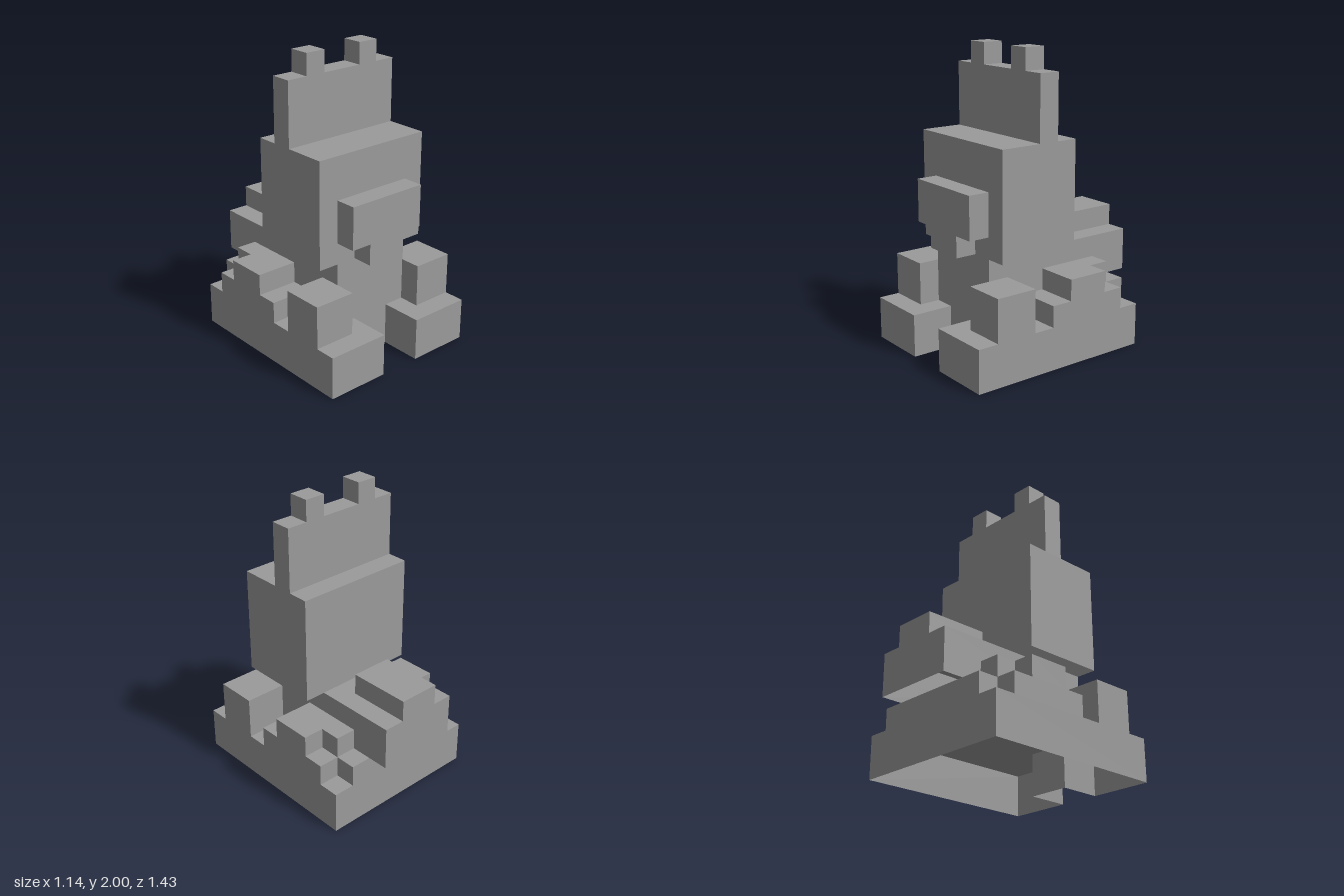
import * as THREE from 'three';

const U = 1 / 7; // block unit: the model is 14 blocks tall
const material = new THREE.MeshStandardMaterial({ color: 0x9b9b9b, flatShading: true, side: THREE.DoubleSide });

// Rectangular footprint from x0..x1, z0..z1
const rect = (x0, x1, z0, z1) => [[x0, z0], [x1, z0], [x1, z1], [x0, z1]];
const mirror = (outline) => outline.map(([x, z]) => [-x, z]);

// Hollow block: a footprint of [x, z] points raised from y0 to y1, open below
function block(name, outline, y0, y1, openTop = false) {
  const shape = new THREE.Shape(outline.map(([x, z]) => new THREE.Vector2(x * U, -z * U)));
  const full = new THREE.ExtrudeGeometry(shape, { depth: (y1 - y0) * U, bevelEnabled: false });
  full.rotateX(-Math.PI / 2).translate(0, y0 * U, 0);
  // the bottom lid comes first, then the top lid, then the walls
  const skip = (outline.length - 2) * 3 * (openTop ? 2 : 1);
  const geometry = new THREE.BufferGeometry();
  for (const key of ['position', 'normal']) {
    geometry.setAttribute(key, new THREE.BufferAttribute(full.attributes[key].array.slice(skip * 3), 3));
  }
  const mesh = new THREE.Mesh(geometry, material);
  mesh.name = name;
  return mesh;
}

export function createModel() {
  const model = new THREE.Group();
  model.name = 'blockCreature';
  const add = (...args) => model.add(block(...args));
  const addPair = (name, outline, y0, y1) => {
    add(name + 'Left', outline, y0, y1);
    add(name + 'Right', mirror(outline), y0, y1);
  };

  // Base with the two front feet
  add('base', [[-4, -4], [4, -4], [4, 5], [1, 5], [1, 3], [-1, 3], [-1, 5], [-4, 5]], 0, 2);

  // Body, running back into the overhanging tail
  add('lowerBody', rect(-2, 2, -4, 3), 2, 3, true);
  add('bodyAndTail', rect(-2, 2, -5, 3), 3, 5);
  add('tailTop', rect(-1, 1, -5, -2), 5, 6);

  // Front legs and stepped haunches
  addPair('frontLeg', rect(2, 4, 2, 4), 2, 4);
  addPair('haunchLower', [[2, -4], [3, -4], [3, -3], [4, -3], [4, 1], [2, 1]], 2, 3);
  addPair('haunchUpper', [[2, -3], [3, -3], [3, -2], [4, -2], [4, 0], [2, 0]], 3, 4);

  // Head, muzzle and crest
  add('head', rect(-3, 3, -1, 3), 5, 10);
  add('muzzle', rect(-2, 2, 3, 4), 6, 8);
  add('jaw', rect(-1, 1, 3, 4), 5, 6, true);
  add('crest', rect(-3, 3, 0, 1), 10, 13);
  addPair('crestTip', rect(1, 2, 0, 1), 13, 14);

  return model;
}
